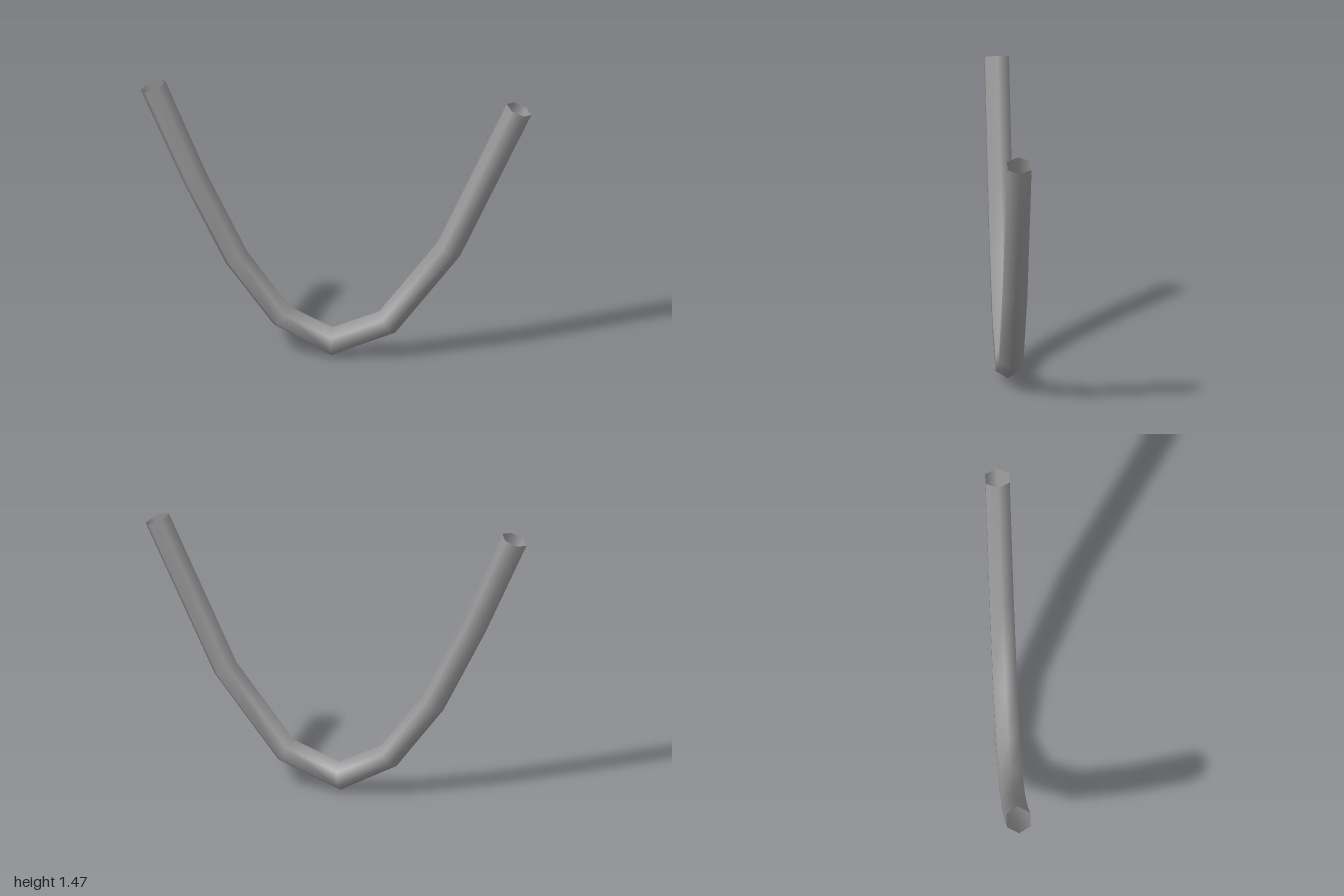
import * as THREE from 'three';

export function createModel() {
  const group = new THREE.Group();
  const sides = 6, halfDepth = 0.061, zShift = -0.002;

  // Outer and inner edge of the bent tube at each joint: [outerX, outerY, innerX, innerY]
  const joints = [
    [-1.0, 1.415, -0.873, 1.467],
    [-0.785, 0.925, -0.665, 0.975],
    [-0.565, 0.483, -0.455, 0.55],
    [-0.318, 0.155, -0.235, 0.257],
    [-0.025, 0.0, -0.02, 0.153],
    [0.302, 0.136, 0.22, 0.25],
    [0.635, 0.573, 0.52, 0.643],
    [0.998, 1.36, 0.873, 1.415],
  ];

  // Hexagonal ring at every joint, corners pointing to the inner and outer edge
  const positions = [], normals = [], index = [];
  joints.forEach(([ox, oy, ix, iy], j) => {
    const outward = new THREE.Vector2(ox - ix, oy - iy).normalize();
    for (let s = 0; s < sides; s++) {
      const a = (s / sides) * Math.PI * 2;
      const c = Math.cos(a), t = (1 + c) / 2;
      const z = (Math.sin(a) / Math.sin(Math.PI / 3)) * halfDepth + zShift;
      positions.push(ix + (ox - ix) * t, iy + (oy - iy) * t, z);
      normals.push(outward.x * c, outward.y * c, Math.sin(a));
      if (j < joints.length - 1) {
        const p = j * sides + s, q = j * sides + (s + 1) % sides;
        index.push(p, p + sides, q, q, p + sides, q + sides);
      }
    }
  });

  const geometry = new THREE.BufferGeometry();
  geometry.setAttribute('position', new THREE.Float32BufferAttribute(positions, 3));
  geometry.setAttribute('normal', new THREE.Float32BufferAttribute(normals, 3));
  geometry.setIndex(index);

  // Open-ended tube, so the inside shows too
  const tube = new THREE.Mesh(geometry, new THREE.MeshStandardMaterial({
    color: 0x999999, side: THREE.DoubleSide,
  }));
  tube.name = 'bentTube';
  group.add(tube);
  return group;
}
